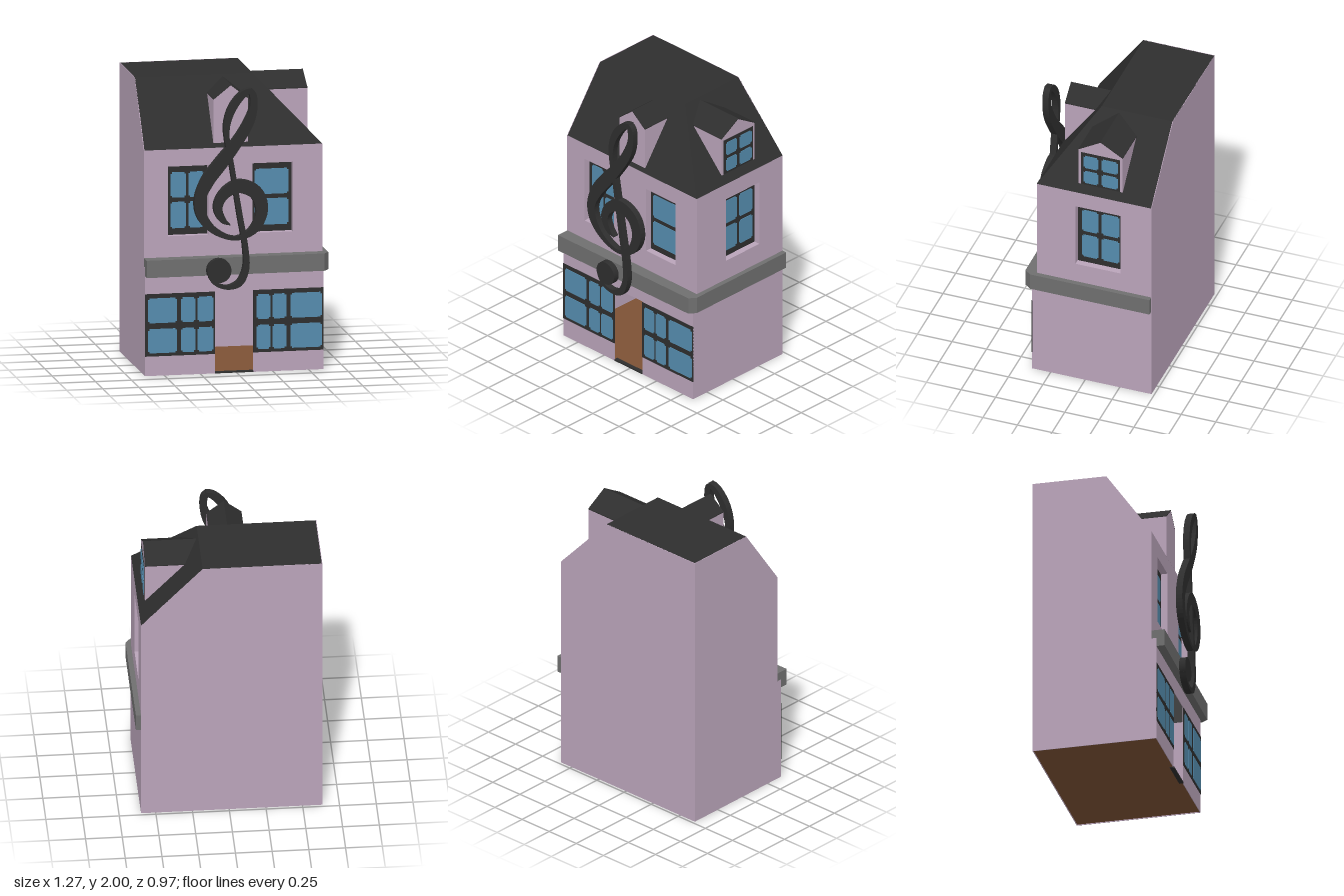
import * as THREE from 'three';

const mat = (name, color, side = THREE.DoubleSide) => {
  const m = new THREE.MeshStandardMaterial({ color, side });
  m.name = name;
  return m;
};

export function createModel() {
  const pink = mat('pink plaster', 0xbaa4ba);
  const dark = mat('dark slate', 0x2e2e2e);
  const grey = mat('grey stone', 0x6f6f6f);
  const blue = mat('window glass', 0x558cae);
  const brown = mat('brown floor', 0x7d5235);
  const model = new THREE.Group();
  model.name = 'house';

  const add = (name, geometry, material, parent = model) => {
    const mesh = new THREE.Mesh(geometry, material);
    mesh.name = name;
    parent.add(mesh);
    return mesh;
  };
  const poly = (pts) => new THREE.Shape(pts.map(([x, y]) => new THREE.Vector2(x, y)));
  const rect = (x0, x1, y0, y1) => [[x0, y0], [x1, y0], [x1, y1], [x0, y1]];
  // Extrusion whose front face lies at z
  const slab = (pts, z, depth, holes = []) => {
    const shape = poly(pts);
    holes.forEach((h) => shape.holes.push(poly(h)));
    return new THREE.ExtrudeGeometry(shape, { depth, bevelEnabled: false }).translate(0, 0, z - depth);
  };

  const L = -0.635, R = 0.6, BACK = -0.48, F1 = 0.385, F2 = 0.35;
  const EAVE = 1.555, TOP = 2, RX = 0.18, RZ = 0.035, INSET = 0.05;

  // Everything facing +x is made in a turned group: local x = -z, local z = x
  const side = new THREE.Group();
  side.name = 'rightSide';
  side.rotation.y = Math.PI / 2;
  model.add(side);

  // Walls of the hollow shell
  const upperY = [0.955, 1.437];
  const openings = [rect(-0.468, -0.188, ...upperY), rect(0.118, 0.396, ...upperY)];
  add('lowerFrontWall', slab([[L, 0], [-0.15, 0], [-0.15, 0.57], [0.115, 0.57], [0.115, 0],
    [R, 0], [R, 0.75], [L, 0.75]], F1, 0.004), pink);
  add('upperFrontWall', slab(rect(L, R, 0.75, EAVE), F2, INSET, openings), pink);
  add('lowerSideWall', slab(rect(-F1, -BACK, 0, 0.75), R, 0.004), pink, side);
  add('upperSideWall', slab(rect(-F2, -BACK, 0.75, EAVE), R, INSET, [rect(-0.07, 0.254, ...upperY)]), pink, side);
  add('backWall', slab([[L, 0], [R, 0], [R, EAVE], [RX, TOP], [L, TOP]], BACK + 0.004, 0.004), pink);
  add('leftWall', slab([[-F1, 0], [-BACK, 0], [-BACK, TOP], [-RZ, TOP], [-F2, EAVE], [-F2, 0.75], [-F1, 0.75]],
    L + 0.004, 0.004), pink, side);
  add('floor', new THREE.PlaneGeometry(R - L, F1 - BACK).rotateX(-Math.PI / 2)
    .translate((L + R) / 2, 0.006, (F1 + BACK) / 2), brown);
  add('doorSill', new THREE.BoxGeometry(0.265, 0.01, 0.03).translate(-0.0175, 0.005, 0.372), dark);

  // Roof: flat top, front slope and right slope
  const face = (...c) => {
    const g = new THREE.BufferGeometry();
    g.setAttribute('position', new THREE.Float32BufferAttribute(c.flat(), 3));
    g.setIndex([0, 1, 2, 0, 2, 3]);
    g.computeVertexNormals();
    return g;
  };
  const hip = [RX, TOP, RZ], corner = [R, EAVE, F2];
  add('roofTop', face([L, TOP, RZ], hip, [RX, TOP, BACK], [L, TOP, BACK]), dark);
  add('roofFront', face([L, EAVE, F2], corner, hip, [L, TOP, RZ]), dark);
  add('roofSide', face(corner, [R, EAVE, BACK], [RX, TOP, BACK], hip), dark);

  // Stone band with a cut corner
  add('stoneBand', slab([[L + 0.002, BACK + 0.002], [0.635, BACK + 0.002], [0.635, 0.385], [0.6, 0.432], [L + 0.002, 0.442]], 0, 0.12)
    .rotateX(Math.PI / 2).translate(0, 0.69, 0), grey);

  // Window: dark plate with thin glass panes whose corners are notched
  const windowUnit = (name, box, z, cols, rows, parent = model) => {
    const g = new THREE.Group();
    g.name = name;
    parent.add(g);
    add('windowFrame', slab(rect(...box), z, 0.006), dark, g);
    const n = 0.011;
    for (const [a, b] of cols) for (const [c, d] of rows) {
      add('windowPane', slab([[a + n, c], [b - n, c], [b - n, c + n], [b, c + n], [b, d - n], [b - n, d - n],
        [b - n, d], [a + n, d], [a + n, d - n], [a, d - n], [a, c + n], [a + n, c + n]], z + 0.003, 0.003), blue, g);
    }
  };
  const lowRows = [[0.157, 0.325], [0.365, 0.537]];
  const highRows = [[1.0, 1.182], [1.212, 1.388]];
  windowUnit('lowerLeftWindow', [L, -0.15, 0.135, 0.567], F1 + 0.003,
    [[-0.615, -0.415], [-0.385, -0.286], [-0.272, -0.16]], lowRows);
  windowUnit('lowerRightWindow', [0.115, R, 0.135, 0.567], F1 + 0.003,
    [[0.138, 0.234], [0.248, 0.343], [0.372, 0.59]], lowRows);
  windowUnit('upperLeftWindow', [-0.468, -0.188, ...upperY], F2 - INSET + 0.004,
    [[-0.442, -0.333], [-0.317, -0.208]], highRows);
  windowUnit('upperRightWindow', [0.118, 0.396, ...upperY], F2 - INSET + 0.004, [[0.14, 0.374]], highRows);
  windowUnit('sideWindow', [-0.07, 0.254, ...upperY], R - INSET + 0.004,
    [[-0.04, 0.08], [0.104, 0.232]], highRows, side);

  // Dormers: pink pentagon body under a dark pitched cover
  const dormer = (name, cx, half, base, z, back, parent) => {
    const g = new THREE.Group();
    g.name = name;
    parent.add(g);
    const eave = 1.885, peak = 1.98, t = 0.006;
    add('dormerBody', slab([[cx - half, base], [cx + half, base], [cx + half, eave], [cx, peak], [cx - half, eave]],
      z, z - back), pink, g);
    add('dormerRoof', slab([[cx - half, eave], [cx, peak], [cx + half, eave], [cx + half, eave + t],
      [cx, peak + t], [cx - half, eave + t]], z, z - back), dark, g);
  };
  dormer('frontDormer', -0.03, 0.12, 1.585, 0.335, 0.045, model);
  dormer('sideDormer', 0.095, 0.16, 1.6, 0.555, 0.195, side);
  windowUnit('dormerWindow', [-0.045, 0.236, 1.605, 1.868], 0.558,
    [[-0.026, 0.08], [0.104, 0.222]], [[1.62, 1.72], [1.745, 1.846]], side);

  // Treble clef sign: ribbons of varying width, points are [x, y, width]
  const ribbon = (name, pts, steps) => {
    const curve = new THREE.CatmullRomCurve3(pts.map((p) => new THREE.Vector3(...p)));
    const a = [], b = [];
    for (let i = 0; i <= steps; i++) {
      const p = curve.getPoint(i / steps), t = curve.getTangent(i / steps);
      const k = Math.max(p.z, 0.004) / 2 / Math.hypot(t.x, t.y);
      a.push([p.x - t.y * k, p.y + t.x * k]);
      b.unshift([p.x + t.y * k, p.y - t.x * k]);
    }
    add(name, slab([...a, ...b], 0.485, 0.045), dark, sign);
  };
  const sign = new THREE.Group();
  sign.name = 'clefSign';
  model.add(sign);
  ribbon('clefSpiral', [
    [-0.061, 1.042, 0.004], [-0.115, 1.08, 0.045], [-0.148, 1.16, 0.06], [-0.115, 1.245, 0.07], [-0.012, 1.308, 0.09],
    [0.112, 1.262, 0.095], [0.157, 1.14, 0.082], [0.105, 1.01, 0.06], [-0.02, 0.948, 0.028], [-0.16, 0.998, 0.045],
    [-0.253, 1.1, 0.068], [-0.276, 1.21, 0.072], [-0.22, 1.35, 0.09], [-0.124, 1.475, 0.092], [-0.01, 1.62, 0.075],
    [0.07, 1.755, 0.068], [0.1, 1.86, 0.05], [0.092, 1.945, 0.045], [0.065, 1.975, 0.03]], 90);
  ribbon('clefStem', [
    [0.09, 1.972, 0.03], [0.035, 1.95, 0.046], [-0.042, 1.86, 0.055], [-0.085, 1.74, 0.045], [-0.084, 1.63, 0.034],
    [-0.055, 1.47, 0.032], [0.0, 1.13, 0.036], [0.045, 0.86, 0.038], [0.045, 0.73, 0.044], [0.0, 0.637, 0.046],
    [-0.085, 0.61, 0.028], [-0.165, 0.64, 0.026], [-0.2, 0.69, 0.03]], 60);
  add('clefBall', new THREE.CylinderGeometry(0.084, 0.084, 0.045, 20).rotateX(Math.PI / 2)
    .translate(-0.139, 0.728, 0.4625), dark, sign);

  return model;
}
